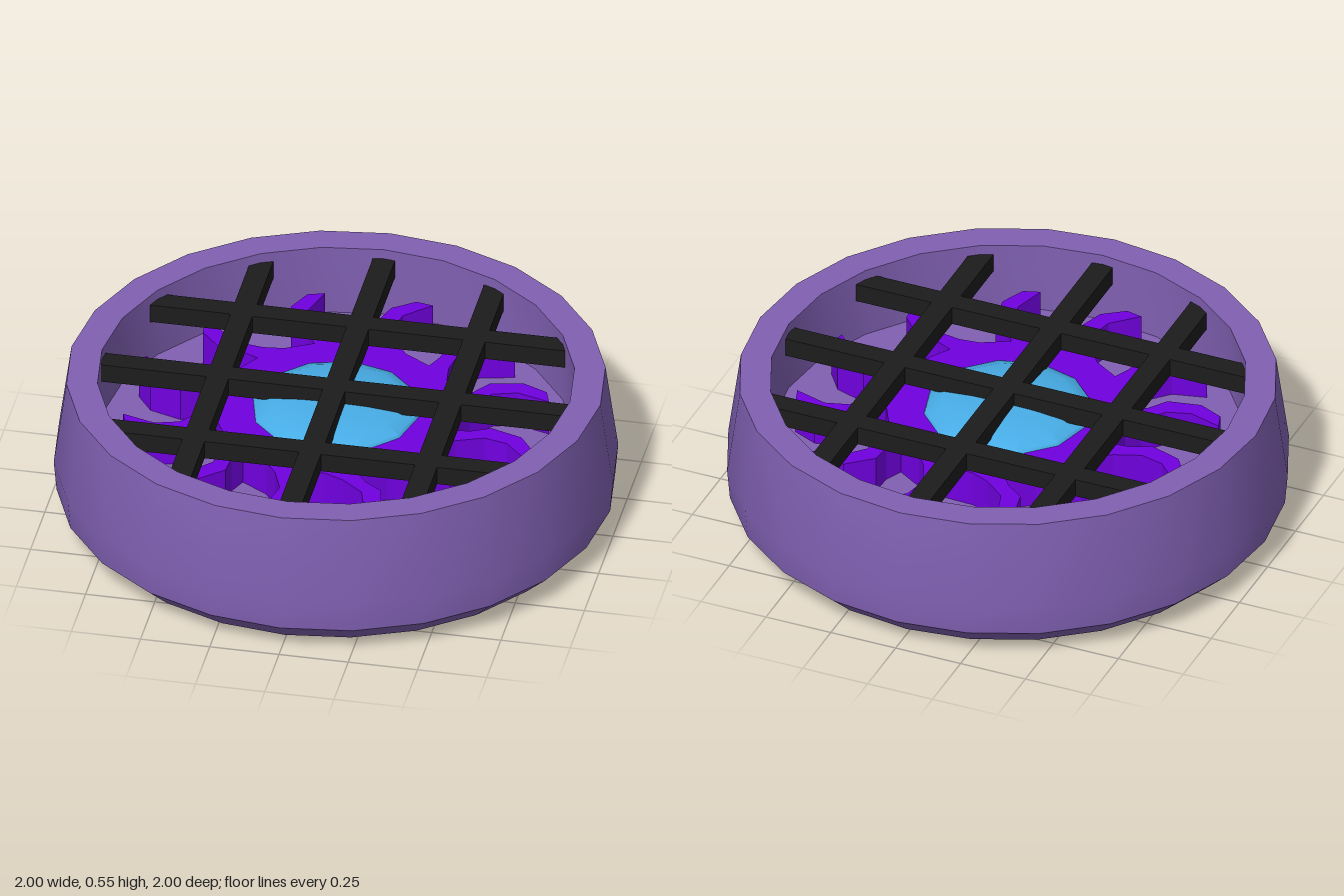
import * as THREE from 'three';
import { toCreasedNormals } from 'three/addons/utils/BufferGeometryUtils.js';

const mat = (name, color) => {
  const m = new THREE.MeshStandardMaterial({ color });
  m.name = name;
  return m;
};

const lathe = (points, sides, crease) =>
  toCreasedNormals(
    new THREE.LatheGeometry(points.map(([r, y]) => new THREE.Vector2(r, y)), sides),
    crease
  );

export function createModel() {
  const shellMat = mat('dusty purple', 0x8060b2);
  const sunMat = mat('vivid violet', 0x7000e0);
  const domeMat = mat('sky blue', 0x48aee8);
  const barMat = mat('charcoal', 0x1c1c1c);

  const model = new THREE.Group();
  model.name = 'grilledDish';
  const add = (parent, name, geometry, material) => {
    const mesh = new THREE.Mesh(geometry, material);
    mesh.name = name;
    parent.add(mesh);
    return mesh;
  };

  // Dish: bevelled foot, bulging wall, flat rim and sunken floor
  add(model, 'dish', lathe([
    [0, 0], [0.75, 0.003], [0.9, 0.02], [0.99, 0.105], [0.995, 0.22],
    [0.955, 0.545], [0.845, 0.545], [0.845, 0.275], [0, 0.275],
  ].map(([r, y]) => [r === 0.995 ? 1 : r, y]), 24, 0.5), shellMat);

  // Sunburst: one wavy ray outline repeated twelve times around the hub
  const ray = [
    [-0.16, 0.4], [-0.2, 0.455], [-0.265, 0.5], [-0.29, 0.62], [-0.25, 0.71],
    [-0.19, 0.73], [-0.225, 0.61], [-0.2, 0.525], [-0.12, 0.46], [-0.05, 0.43],
  ];
  const outline = [];
  for (let k = 0; k < 12; k++) {
    for (const [x, y] of ray) {
      outline.push(new THREE.Vector2(x, y).rotateAround(new THREE.Vector2(), -k * Math.PI / 6));
    }
  }
  const sunGeo = new THREE.ExtrudeGeometry(new THREE.Shape(outline), { depth: 0.14, bevelEnabled: false });
  sunGeo.rotateX(-Math.PI / 2);
  add(model, 'sunburst', sunGeo, sunMat).position.y = 0.27;

  // Low smooth dome in the middle
  add(model, 'dome', lathe([
    [0.31, 0.385], [0.295, 0.42], [0.24, 0.445], [0.13, 0.455], [0, 0.458],
  ], 12, 0.8), domeMat);

  // Grille: three bars each way, their ends set into the wall
  const grille = new THREE.Group();
  grille.name = 'grille';
  model.add(grille);
  for (const d of [-0.42, 0, 0.42]) {
    const length = 2 * Math.sqrt(0.87 * 0.87 - d * d);
    add(grille, 'crossBar', new THREE.BoxGeometry(length, 0.07, 0.08), barMat).position.set(0, 0.472, d);
    add(grille, 'lengthBar', new THREE.BoxGeometry(0.08, 0.07, length), barMat).position.set(d, 0.472, 0);
  }

  return model;
}
